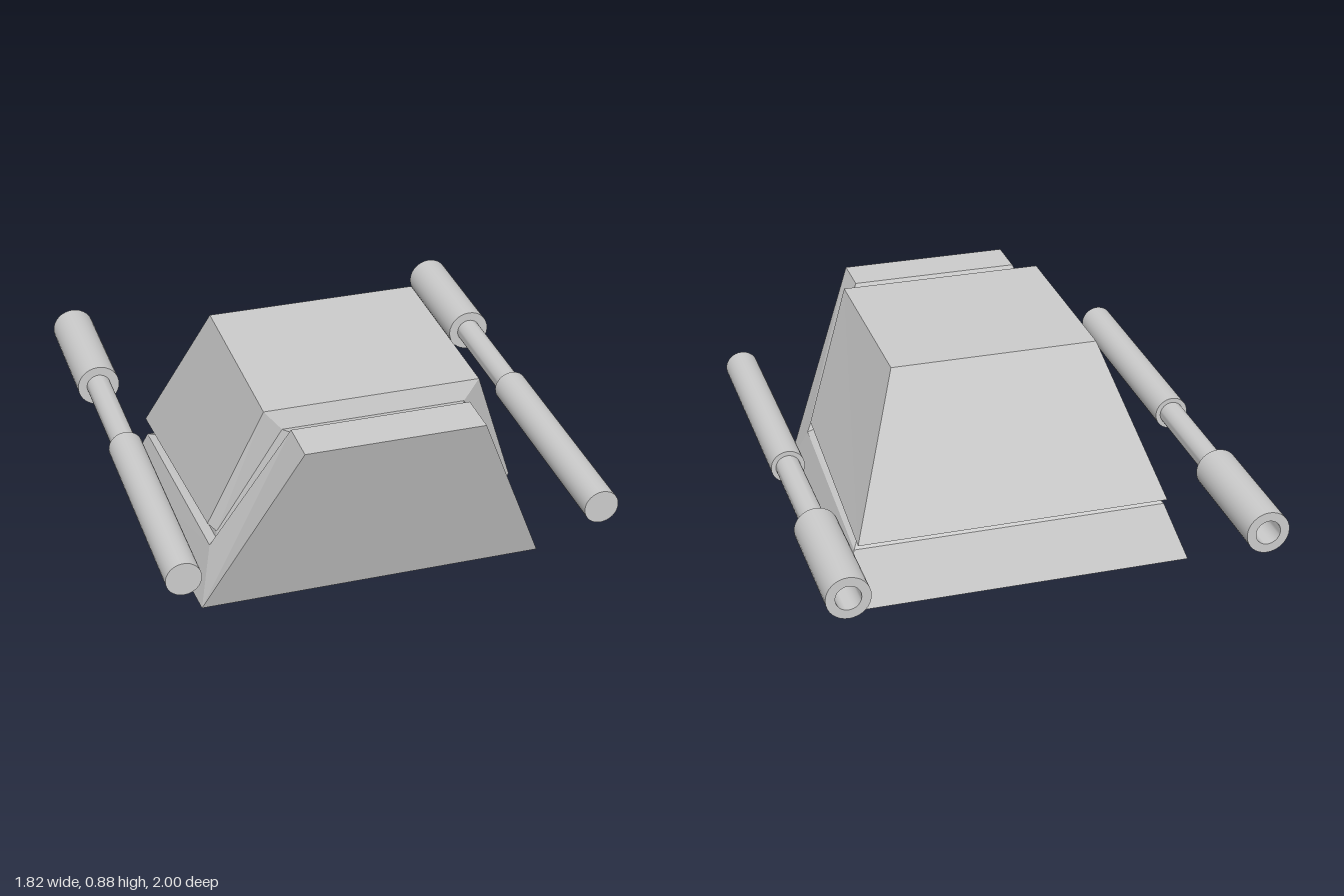
import * as THREE from 'three';
import { toCreasedNormals } from 'three/addons/utils/BufferGeometryUtils.js';

const flat = new THREE.MeshStandardMaterial({ color: 0xcccccc, flatShading: true, side: THREE.DoubleSide });
const smooth = new THREE.MeshStandardMaterial({ color: 0xcccccc });

// Mirrors three points (top, front corner, back corner) into a closed six-point loop
function loop(top, front, back) {
  const m = ([x, y, z]) => [-x, y, z];
  return [top, m(top), m(front), m(back), back, front];
}

// Quads joining two neighbouring loops
const band = (a, b) => a.map((p, i) => {
  const j = (i + 1) % a.length;
  return [a[j], p, b[i], b[j]];
});

function quadMesh(name, quads) {
  const pos = quads.flatMap(([a, b, c, d]) => [a, b, c, a, c, d]).flat();
  const geo = new THREE.BufferGeometry();
  geo.setAttribute('position', new THREE.Float32BufferAttribute(pos, 3));
  geo.computeVertexNormals();
  const mesh = new THREE.Mesh(geo, flat);
  mesh.name = name;
  return mesh;
}

export function createModel() {
  const group = new THREE.Group();
  group.name = 'pod';

  // Cross-sections from the outer shell inwards and up to the cabin
  const outer = loop([0.35, 0.85, 0.965], [0.69, 0.065, 0.71], [0.73, 0, -0.44]);
  const rim = loop([0.35, 0.85, 0.785], [0.625, 0.27, 0.595], [0.65, 0.225, -0.35]);
  const grooveA = loop([0.33, 0.82, 0.77], [0.595, 0.29, 0.58], [0.615, 0.255, -0.28]);
  const grooveB = loop([0.36, 0.805, 0.7], [0.59, 0.315, 0.575], [0.61, 0.265, -0.3]);
  const sill = loop([0.425, 0.88, 0.68], [0.62, 0.34, 0.55], [0.645, 0.27, -0.4]);
  const roofR = [0.425, 0.88, -0.11], roofL = [-0.425, 0.88, -0.11];

  // Front plate and base
  group.add(quadMesh('lowerShell', [
    [outer[0], outer[1], outer[2], outer[5]],
    [outer[2], outer[3], outer[4], outer[5]],
    ...band(outer, rim),
  ]));

  // Recessed seam between shell and cabin
  group.add(quadMesh('seam', [...band(rim, grooveA), ...band(grooveA, grooveB)]));

  // Cabin with bevelled lower edge, roof, back and sides
  group.add(quadMesh('cabin', [
    ...band(grooveB, sill),
    [sill[1], sill[0], roofR, roofL],
    [sill[4], sill[3], roofL, roofR],
    [sill[3], sill[2], sill[1], roofL],
    [sill[0], sill[5], sill[4], roofR],
  ]));

  // Stepped side tubes, hollow at the rear
  const profile = [
    [0, -0.75], [0.05, -0.75], [0.05, -1], [0.087, -1], [0.087, -0.47], [0.05, -0.47],
    [0.05, 0.04], [0.069, 0.04], [0.069, 1], [0, 1],
  ].map(([r, h]) => new THREE.Vector2(r, h));
  const tube = toCreasedNormals(new THREE.LatheGeometry(profile, 32).rotateX(Math.PI / 2), 0.6);
  for (const [name, side] of [['leftTube', 1], ['rightTube', -1]]) {
    const mesh = new THREE.Mesh(tube, smooth);
    mesh.name = name;
    mesh.position.set(side * 0.823, 0.422, 0);
    group.add(mesh);
  }
  return group;
}
